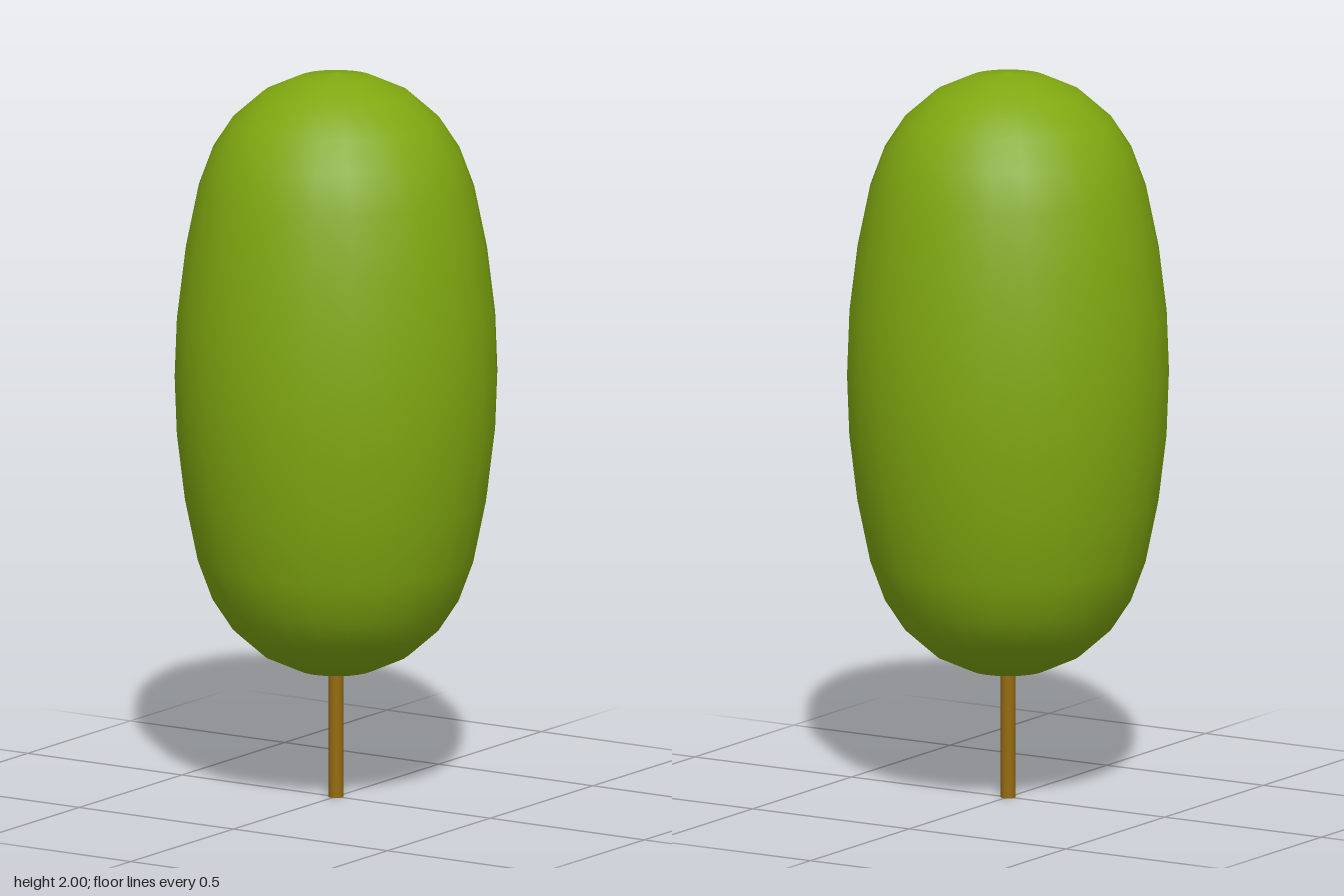
import * as THREE from 'three';

export function createModel() {
  const tree = new THREE.Group();
  tree.name = 'tree';

  // Crown: lathe profile mirrored about its middle height
  const midY = 1.17;
  const half = [[0, 0.83], [0.105, 0.815], [0.2, 0.772], [0.28, 0.702], [0.335, 0.618],
    [0.375, 0.51], [0.41, 0.34], [0.432, 0.16], [0.438, 0]];
  const lower = half.map(([r, y]) => new THREE.Vector2(r, midY - y));
  const upper = half.slice(0, -1).reverse().map(([r, y]) => new THREE.Vector2(r, midY + y));
  const crown = new THREE.Mesh(
    new THREE.LatheGeometry([...lower, ...upper], 24, THREE.MathUtils.degToRad(-5.5)),
    new THREE.MeshStandardMaterial({ color: 0x80a810 })
  );
  crown.name = 'crown';

  // Trunk: thin pole reaching a little way into the crown
  const height = 0.42;
  const trunk = new THREE.Mesh(
    new THREE.CylinderGeometry(0.02, 0.02, height, 16),
    new THREE.MeshStandardMaterial({ color: 0x946c10 })
  );
  trunk.position.y = height / 2;
  trunk.name = 'trunk';

  tree.add(crown, trunk);
  return tree;
}
